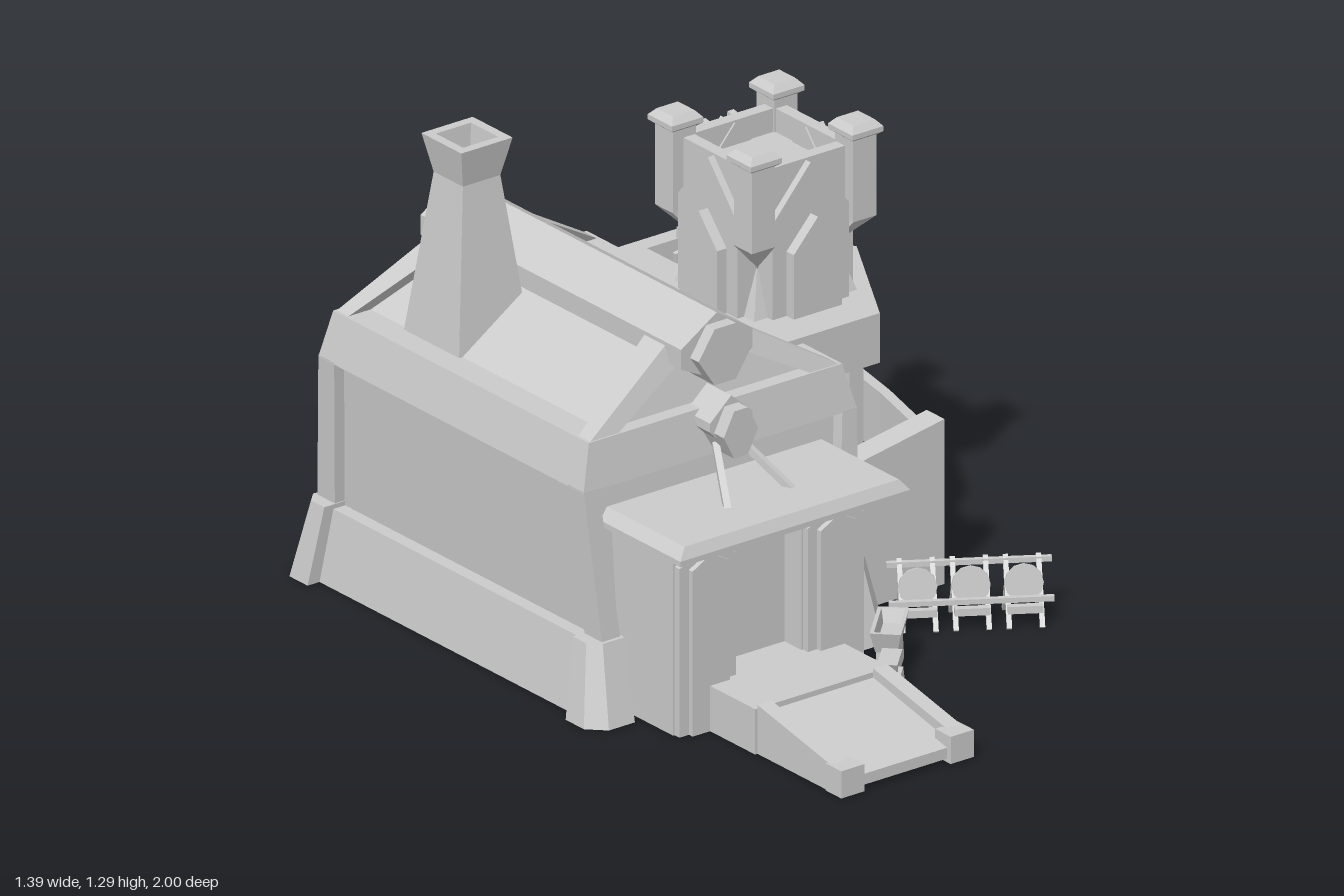
import * as THREE from 'three';

const mat = new THREE.MeshStandardMaterial({ color: 0xcccccc, flatShading: true, side: THREE.DoubleSide });
const SIDES = [-1, 1];

function add(parent, name, geo, x = 0, y = 0, z = 0) {
  const m = new THREE.Mesh(geo, mat);
  m.name = name;
  m.position.set(x, y, z);
  parent.add(m);
  return m;
}

function group(parent, name, x = 0, y = 0, z = 0) {
  const g = new THREE.Group();
  g.name = name;
  g.position.set(x, y, z);
  parent.add(g);
  return g;
}

// Skin between rings of [x, y, z] corners, capped on top; shells resting on the ground stay open below
function skin(rings) {
  const pos = [], n = rings[0].length;
  const tri = (a, b, c) => pos.push(...a, ...b, ...c);
  const cap = (r) => { for (let j = 1; j + 1 < n; j++) tri(r[0], r[j], r[j + 1]); };
  for (let i = 0; i + 1 < rings.length; i++)
    for (let j = 0; j < n; j++) {
      const k = (j + 1) % n, [lo, hi] = [rings[i], rings[i + 1]];
      tri(lo[j], lo[k], hi[k]);
      tri(lo[j], hi[k], hi[j]);
    }
  cap(rings[rings.length - 1]);
  if (rings[0][0][1] > 0) cap(rings[0].slice().reverse());
  const g = new THREE.BufferGeometry();
  g.setAttribute('position', new THREE.Float32BufferAttribute(pos, 3));
  g.computeVertexNormals();
  return g;
}

// Stack of rectangles [y, x0, x1, z0, z1]
const loft = (rings) => skin(rings.map(([y, x0, x1, z0, z1]) => [[x0, y, z1], [x1, y, z1], [x1, y, z0], [x0, y, z0]]));
// Centred stack [y, half width, half depth]
const taper = (rings) => loft(rings.map(([y, w, d = w]) => [y, -w, w, -d, d]));
const block = (x0, x1, y0, y1, z0, z1) => loft([[y0, x0, x1, z0, z1], [y1, x0, x1, z0, z1]]);

// Square bar between two points
function beam(parent, name, a, b, w, h = w) {
  const A = new THREE.Vector3(...a), B = new THREE.Vector3(...b);
  const m = add(parent, name, new THREE.BoxGeometry(w, h, A.distanceTo(B)));
  m.position.copy(A).add(B).multiplyScalar(0.5);
  m.quaternion.setFromRotationMatrix(new THREE.Matrix4().lookAt(B, A, new THREE.Vector3(0, 1, 0)));
}

function extrude(points, depth, hole) {
  const s = new THREE.Shape(points.map(p => new THREE.Vector2(...p)));
  if (hole) s.holes.push(new THREE.Path(hole.map(p => new THREE.Vector2(...p))));
  return new THREE.ExtrudeGeometry(s, { depth, bevelEnabled: false });
}

// Pointed arch outline
const arch = (w, y0, shoulder, apex) => [[-w, y0], [w, y0], [w, shoulder], [0, apex], [-w, shoulder]];

// Thick gable rafter that leans back and widens towards the ridge
function rafterGeometry() {
  const g = extrude([[0.405, 0.735], [0.1, 0.918], [0.1, 0.85], [0.315, 0.735]], 1);
  const p = g.attributes.position;
  for (let i = 0; i < p.count; i++) {
    const rise = p.getY(i) - 0.735;
    p.setZ(i, p.getZ(i) > 0.5 ? 0.522 - rise * 0.33 : 0.475 - rise * 0.55);
  }
  g.computeVertexNormals();
  return g;
}

function buildHouse(root) {
  const g = group(root, 'house', -0.215, 0, -0.345);
  add(g, 'walls', taper([[0, 0.365, 0.565], [0.62, 0.405, 0.51]]));
  add(g, 'eaveBand', taper([[0.615, 0.437, 0.545], [0.74, 0.405, 0.525]]));
  add(g, 'roof', taper([[0.735, 0.335, 0.485], [0.93, 0.005, 0.44]]));
  for (const sx of SIDES) {
    for (const sz of SIDES) {
      // Leaning corner post and its chamfered foot
      const ring = (y, xi, xo, zi, zo, c = 0) => {
        const r = [[xi, zi], [xi, zo], [xo - c, zo], [xo, zo - c], [xo, zi]].map(([x, z]) => [sx * x, y, sz * z]);
        return sx * sz > 0 ? r : r.reverse();
      };
      add(g, 'cornerPost', skin([ring(0, 0.33, 0.395, 0.53, 0.605), ring(0.62, 0.39, 0.437, 0.48, 0.545)]));
      add(g, 'cornerFoot', skin([ring(0, 0.355, 0.483, 0.53, 0.65, 0.045), ring(0.213, 0.345, 0.445, 0.51, 0.595, 0.03)]));
      const rafter = add(g, 'gableRafter', rafterGeometry());
      rafter.scale.set(sx, 1, sz);
    }
    add(g, 'sidePlinth', loft([[0, sx * 0.4 - 0.045, sx * 0.4 + 0.045, -0.55, 0.55], [0.2, sx * 0.385 - 0.03, sx * 0.385 + 0.03, -0.55, 0.55]]));
  }
  add(g, 'backPlinth', loft([[0, -0.4, 0.4, -0.635, -0.53], [0.2, -0.4, 0.4, -0.58, -0.5]]));
  // Ridge cap over a six-sided beam
  add(g, 'ridgeCap', extrude([[-0.114, 0.865], [0, 0.81], [0.114, 0.865], [0.114, 0.92], [0, 0.993], [-0.114, 0.92]], 1.07), 0, 0, -0.54);
  const hex = (w, h) => [[-w, 0], [-w * 0.4, -h], [w * 0.4, -h], [w, 0], [w * 0.4, h], [-w * 0.4, h]];
  add(g, 'ridgeBeam', extrude(hex(0.085, 0.077), 1.12), 0, 0.89, -0.555);
  // Small beam over the porch
  add(g, 'porchBeam', extrude(hex(0.055, 0.065), 0.14), 0, 0.695, 0.49);
  add(g, 'porchBeamCap', extrude([[-0.068, 0.7], [0, 0.63], [0.068, 0.7], [0.068, 0.725], [0, 0.785], [-0.068, 0.725]], 0.1), 0, 0, 0.49);
  for (const s of SIDES) beam(g, 'awningStrut', [s * 0.035, 0.655, 0.57], [s * 0.105, 0.535, 0.71], 0.018);
  // Chimney with hollow mouth
  add(g, 'chimney', taper([[0.735, 0.114], [1.18, 0.06], [1.285, 0.082], [1.285, 0.056], [1.15, 0.045]]), -0.224, 0, -0.208);
}

function buildPorch(root) {
  const g = group(root, 'porch', -0.245, 0, 0);
  add(g, 'awning', loft([[0.5, -0.335, 0.4, 0.12, 0.505], [0.515, -0.335, 0.4, 0.12, 0.505], [0.545, -0.31, 0.375, 0.12, 0.49]]));
  add(g, 'door', block(-0.13, 0.13, 0, 0.5, 0.15, 0.36));
  for (const s of SIDES) {
    add(g, 'column', block(s * 0.205 - 0.095, s * 0.205 + 0.095, 0, 0.5, 0.15, 0.43));
    add(g, 'columnArch', extrude(arch(0.09, 0, 0.465, 0.5), 0.02), s * 0.205, 0, 0.43);
    add(g, 'columnPanel', extrude(arch(0.06, 0, 0.455, 0.488), 0.015), s * 0.205, 0, 0.45);
  }
  add(g, 'sideWall', block(0.29, 0.37, 0, 0.5, 0.12, 0.25));
  // Landing and sloping ramp with curbs
  const r = group(g, 'entrance', 0.006);
  add(r, 'landing', block(-0.215, 0.215, 0, 0.125, 0.3, 0.65));
  const slope = (b0, y0, b1, y1) => [[-0.65, b0], [-0.65, y0], [-0.985, y1], [-0.985, b1]];
  const along = (pts, w) => extrude(pts, w).rotateY(Math.PI / 2);
  add(r, 'ramp', along(slope(0.08, 0.11, 0.01, 0.04), 0.36), -0.18);
  for (const s of SIDES) {
    add(r, 'rampCurb', along(slope(0, 0.135, 0, 0.068), 0.045), s * 0.185 - 0.0225);
    add(r, 'rampEndPost', block(s * 0.175 - 0.037, s * 0.175 + 0.037, 0, 0.075, 0.935, 1));
  }
}

function buildPlatform(root) {
  const g = group(root, 'platform');
  const outline = [[0.105, -0.02], [0.435, -0.02], [0.645, 0.345], [0.435, 0.71], [0.105, 0.71]];
  const hatch = [[0.22, 0.5], [0.22, 0.66], [0.4, 0.66], [0.4, 0.5]];
  add(g, 'deck', extrude(outline, 0.137, hatch).rotateX(-Math.PI / 2), 0, 0.62, 0);
  for (const [x, z] of [[0.43, -0.1], [0.573, -0.345], [0.43, -0.59]]) {
    add(g, 'deckPost', block(-0.022, 0.022, 0, 0.63, -0.03, 0.03), x, 0, z);
    add(g, 'postFoot', block(-0.05, 0.05, 0, 0.105, -0.05, 0.05), x, 0, z);
  }
  // Yard walls with sloping tops, and the bowed rail joining them
  const wallRing = (y0, y1) => [[0.16, y0, 0.073], [0.577, y1, 0.073], [0.577, y1, 0], [0.16, y0, 0]];
  for (const z of [0.03, -0.8]) add(g, 'yardWall', skin([wallRing(0, 0), wallRing(0.383, 0.455)]), 0, 0, z);
  const bow = [[0.55, 0.04], [0.6, -0.15], [0.638, -0.345], [0.6, -0.54], [0.55, -0.73]];
  const inner = bow.map(([x, z]) => [x - 0.03, z]).reverse();
  add(g, 'bowedRail', extrude([...bow, ...inner].map(([x, z]) => [x, -z]), 0.17).rotateX(-Math.PI / 2), 0, 0.27, 0);
}

function buildTower(root) {
  const g = group(root, 'tower', 0.315, 0, -0.295);
  add(g, 'towerBody', taper([[0.755, 0.165], [0.88, 0.125], [0.96, 0.165], [1.165, 0.165], [1.165, 0.13], [1.1, 0.13]]));
  for (const sx of SIDES) for (const sz of SIDES) {
    // Corner turret tapering below, with a cap
    const c = group(g, 'cornerTurret', sx * 0.162, 0, sz * 0.162);
    add(c, 'turretPost', loft([[0.89, -sx * 0.037 - 0.005, -sx * 0.037 + 0.005, -sz * 0.037 - 0.005, -sz * 0.037 + 0.005],
      [0.965, -0.037, 0.037, -0.037, 0.037], [1.195, -0.037, 0.037, -0.037, 0.037]]));
    add(c, 'turretCap', taper([[1.19, 0.04], [1.198, 0.05], [1.212, 0.05], [1.23, 0.034]]));
  }
  // Pointed panel and arch on each face
  for (let i = 0; i < 4; i++) {
    const f = group(g, 'towerFace');
    f.rotation.y = i * Math.PI / 2;
    add(f, 'gablePanel', extrude(arch(0.122, 0.755, 1.02, 1.16), 0.06), 0, 0, 0.125);
    if (i !== 2) add(f, 'archPanel', extrude(arch(0.077, 0.755, 0.935, 1.02), 0.03), 0, 0, 0.185);
  }
  // Ladder with uneven rungs
  const l = group(root, 'ladder', 0.308, 0, 0);
  const zAt = y => -0.71 + 0.2 * y;
  for (const s of SIDES) beam(l, 'ladderRail', [s * 0.045, 0.4, zAt(0.4)], [s * 0.045, 1.16, zAt(1.16)], 0.02);
  for (let i = 0; i < 13; i++) {
    const y = 0.42 + i * 0.058, t = 0.012 * Math.sin(i * 2.3);
    beam(l, 'rung', [-0.07, y - t, zAt(y) - 0.012], [0.07, y + t, zAt(y) - 0.012], 0.014, 0.028);
  }
}

function buildYardItems(root) {
  // Rack with three upright round shields
  const r = group(root, 'shieldRack', 0.487, 0, 0.325);
  r.rotation.y = -0.56;
  for (let i = 0; i < 3; i++) {
    const x = (i - 1) * 0.135;
    for (const s of SIDES) {
      beam(r, 'rackFrontLeg', [x + s * 0.042, 0, 0.06], [x + s * 0.042, 0.16, -0.045], 0.013);
      beam(r, 'rackBackLeg', [x + s * 0.042, 0, -0.07], [x + s * 0.042, 0.1, -0.005], 0.012);
    }
    const d = add(r, 'shield', new THREE.CylinderGeometry(0.05, 0.05, 0.01, 12), x, 0.105, 0.012);
    d.rotation.x = Math.PI / 2 - 0.15;
    beam(r, 'rackShelf', [x - 0.045, 0.05, 0.05], [x + 0.045, 0.05, 0.05], 0.02);
  }
  for (const [y, z] of [[0.148, -0.038], [0.068, 0.03]])
    beam(r, 'rackRail', [-0.21, y, z], [0.21, y, z], 0.014);

  // Anvil
  const a = group(root, 'anvil', 0.05, 0, 0.555);
  a.rotation.y = Math.PI / 4;
  add(a, 'anvilBase', taper([[0, 0.06, 0.032], [0.05, 0.055, 0.028]]));
  add(a, 'anvilWaist', taper([[0.05, 0.025, 0.018], [0.085, 0.025, 0.018]]));
  add(a, 'anvilTop', taper([[0.08, 0.04, 0.022], [0.1, 0.052, 0.026]]));

  // Hollow trough on a stand
  const t = group(root, 'trough', 0.153, 0, 0.422);
  t.rotation.y = Math.PI / 4;
  add(t, 'troughTub', taper([[0.065, 0.065, 0.028], [0.125, 0.086, 0.04], [0.125, 0.076, 0.03], [0.09, 0.065, 0.024]]));
  add(t, 'troughStand', taper([[0, 0.06, 0.03], [0.07, 0.06, 0.026]]));
}

export function createModel() {
  const root = new THREE.Group();
  root.name = 'workshop';
  buildHouse(root);
  buildPorch(root);
  buildPlatform(root);
  buildTower(root);
  buildYardItems(root);
  return root;
}
